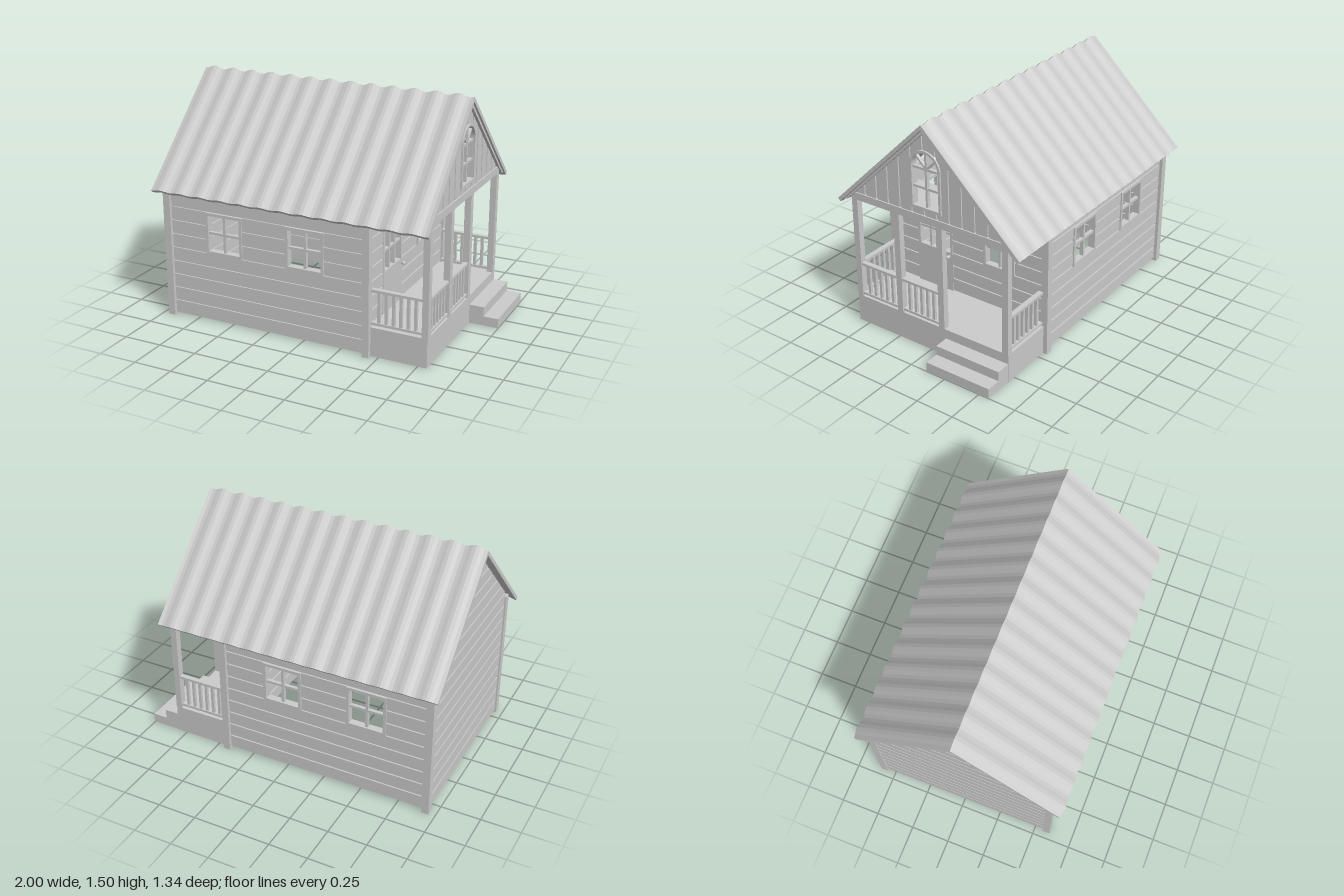
import * as THREE from 'three';

const mat = new THREE.MeshStandardMaterial({ color: 0xcccccc, flatShading: true });
const SLOPE = 0.958, GAP = 0.012, PITCH = 0.09;
const slopeY = (z, top = 1.45) => top - SLOPE * Math.abs(z);

function add(parent, name, geo, x = 0, y = 0, z = 0) {
  const m = new THREE.Mesh(geo, mat);
  m.name = name;
  m.position.set(x, y, z);
  parent.add(m);
  return m;
}
// box given by its min/max on each axis
function box(parent, name, x0, x1, y0, y1, z0, z1) {
  return add(parent, name, new THREE.BoxGeometry(x1 - x0, y1 - y0, z1 - z0),
    (x0 + x1) / 2, (y0 + y1) / 2, (z0 + z1) / 2);
}
function group(parent, name, x = 0, y = 0, z = 0, turn = 0) {
  const g = new THREE.Group();
  g.name = name;
  g.position.set(x, y, z);
  g.rotation.y = turn;
  parent.add(g);
  return g;
}
const poly = pts => new THREE.Shape(pts.map(p => new THREE.Vector2(p[0], p[1])));
const rect = (x0, x1, y0, y1) => poly([[x0, y0], [x1, y0], [x1, y1], [x0, y1]]);
// plate centred on its own z = 0
function plate(parent, name, shape, depth, holes = []) {
  shape.holes.push(...holes);
  const geo = new THREE.ExtrudeGeometry(shape, { depth, bevelEnabled: false, curveSegments: 16 });
  return add(parent, name, geo.translate(0, 0, -depth / 2));
}

// horizontally boarded wall in its local xy plane; openings are [x0, x1, y0, y1]
function boardWall(parent, u0, u1, top, openings, gable) {
  const lim = (u, y) => gable ? Math.sign(u) * Math.min(Math.abs(u), Math.max(0, (1.45 - y) / SLOPE)) : u;
  const outline = gable
    ? poly([[u0, 0.01], [u1, 0.01], [u1, slopeY(u1)], [0, 1.45], [u0, slopeY(u0)]])
    : rect(u0, u1, 0.01, top);
  plate(parent, 'wallBacking', outline, 0.012, openings.map(o => rect(...o)));
  for (let y = 0.01; y < top - 0.02; y += PITCH) {
    const last = !gable && y > 0.7;
    const a = y + GAP, b = last ? top : Math.min(y + PITCH, top);
    const cuts = openings.filter(o => o[2] < b - 0.03 && o[3] > a + 0.03);
    const edges = [u0, ...cuts.flatMap(o => [o[0], o[1]]), u1];
    for (let i = 0; i < edges.length; i += 2) {
      const l = edges[i], r = edges[i + 1];
      plate(parent, 'wallBoard', poly([[lim(l, a), a], [lim(r, a), a], [lim(r, b), b], [lim(l, b), b]]), 0.03);
    }
    if (last) break;
  }
}

// four-pane window
function paneWindow(parent, u0, u1, y0, y1) {
  const g = group(parent, 'window'), w = 0.018;
  plate(g, 'windowFrame', rect(u0, u1, y0, y1), 0.046, [rect(u0 + w, u1 - w, y0 + w, y1 - w)]);
  const u = (u0 + u1) / 2, y = (y0 + y1) / 2;
  box(g, 'verticalBar', u - 0.008, u + 0.008, y0 + w, y1 - w, -0.012, 0.012);
  box(g, 'horizontalBar', u0 + w, u1 - w, y - 0.008, y + 0.008, -0.011, 0.011);
}

// railing along local x
function railing(parent, name, len, x, z, turn) {
  const g = group(parent, name, x, 0, z, turn);
  box(g, 'topRail', -len / 2, len / 2, 0.412, 0.428, -0.016, 0.016);
  box(g, 'bottomRail', -len / 2, len / 2, 0.203, 0.219, -0.014, 0.014);
  const n = Math.round(len / 0.045);
  for (let i = 1; i < n; i++) {
    const u = -len / 2 + i * len / n;
    box(g, 'baluster', u - 0.009, u + 0.009, 0.219, 0.412, -0.009, 0.009);
  }
}

// corrugated roof: one six-point section swept along x
function roofGeometry() {
  const pos = [], idx = [], n = 80, L = 1.835;
  for (let i = 0; i <= n; i++) {
    const x = -1 + L * i / n, w = 0.007 * Math.cos((x + 0.93) / 0.139 * Math.PI * 2);
    const ez = 0.665 + w * 0.69, ey = 0.85 + w * 0.72, ry = 1.492 + w * 1.39;
    for (const [z, y] of [[ez, ey], [0, ry], [-ez, ey], [-ez + 0.016, ey - 0.017], [0, ry - 0.031], [ez - 0.016, ey - 0.017]])
      pos.push(x, y, z);
  }
  for (let i = 0; i < n; i++) for (let k = 0; k < 6; k++) {
    const a = i * 6 + k, b = i * 6 + (k + 1) % 6, c = b + 6, d = a + 6;
    idx.push(a, d, c, a, c, b);
  }
  const e = n * 6;
  idx.push(0, 1, 4, 0, 4, 5, 1, 2, 3, 1, 3, 4);
  idx.push(e + 5, e + 4, e + 1, e + 5, e + 1, e, e + 4, e + 3, e + 2, e + 4, e + 2, e + 1);
  const geo = new THREE.BufferGeometry();
  geo.setAttribute('position', new THREE.Float32BufferAttribute(pos, 3));
  geo.setIndex(idx);
  geo.computeVertexNormals();
  return geo;
}

// round-headed outline, straight sides up to y = 1.215
function arch(r, y0) {
  const s = new THREE.Shape();
  s.moveTo(-r, y0);
  s.lineTo(r, y0);
  s.lineTo(r, 1.215);
  s.absarc(0, 1.215, r, 0, Math.PI, false);
  s.lineTo(-r, y0);
  return s;
}

// porch gable with vertical boards, arched window and sloping trim
function frontGable(parent) {
  const g = group(parent, 'porchGable', 0.79, 0, 0, Math.PI / 2), R = 0.1;
  plate(g, 'gableBacking', poly([[-0.57, 0.9], [0.57, 0.9], [0, 1.45]]), 0.012, [arch(R, 0.96)]);
  const board = (l, r) => {
    const roof = u => Math.max(0.911, slopeY(u, 1.445));
    const top = l < 0 && r > 0 ? [[r, roof(r)], [0, roof(0)], [l, roof(l)]] : [[r, roof(r)], [l, roof(l)]];
    if (Math.abs(l + r) / 2 > R) return plate(g, 'gableBoard', poly([[l, 0.91], [r, 0.91], ...top]), 0.03);
    const curve = [];
    for (let i = 0; i <= 6; i++) {
      const u = l + (r - l) * i / 6;
      curve.push([u, 1.215 + Math.sqrt(Math.max(0, R * R - u * u))]);
    }
    plate(g, 'gableBoard', poly([...curve, ...top]), 0.03);
    plate(g, 'gableBoard', rect(l, r, 0.91, 0.96), 0.03);
  };
  for (let k = -6; k < 6; k++) {
    const l = Math.max(-0.016 + k * PITCH + GAP / 2, -0.56);
    const r = Math.min(-0.016 + (k + 1) * PITCH - GAP / 2, 0.56);
    const cut = [-R, R].find(c => c > l + 0.002 && c < r - 0.002);
    if (cut === undefined) board(l, r);
    else { board(l, cut); board(cut, r); }
  }
  const w = group(g, 'archedWindow');
  plate(w, 'archFrame', arch(0.11, 0.95), 0.05, [arch(0.094, 0.968)]);
  box(w, 'verticalBar', -0.007, 0.007, 0.96, 1.31, -0.012, 0.012);
  for (const y of [1.085, 1.205]) box(w, 'horizontalBar', -0.1, 0.1, y - 0.007, y + 0.007, -0.011, 0.011);
  for (const s of [-1, 1]) {
    const spoke = add(w, 'fanSpoke', new THREE.BoxGeometry(0.012, 0.1, 0.02),
      s * 0.036, 1.205 + 0.036, 0);
    spoke.rotation.z = -s * Math.PI / 4;
    const trim = plate(g, 'gableTrim', poly([[0, 1.43], [s * 0.6, 0.855], [s * 0.64, 0.85], [0, 1.463]]), 0.03);
    trim.position.z = 0.018;
  }
}

export function createModel() {
  const model = new THREE.Group();
  model.name = 'cabin';

  // long side walls with two windows each
  for (const s of [-1, 1]) {
    const wall = group(model, 'sideWall', 0, 0, s * 0.565);
    const wins = [[-0.663, -0.407, 0.462, 0.73], [-0.107, 0.149, 0.462, 0.73]];
    boardWall(wall, -0.92, 0.415, 0.87, wins, false);
    wins.forEach(o => paneWindow(wall, ...o));
    box(model, 'cornerPost', -0.96, -0.912, 0, 0.885, s * 0.5775 - 0.0225, s * 0.5775 + 0.0225);
    box(model, 'cornerPost', 0.405, 0.45, 0, 0.885, s * 0.5775 - 0.0225, s * 0.5775 + 0.0225);
  }

  // rear gable wall
  boardWall(group(model, 'rearWall', -0.935, 0, 0, -Math.PI / 2), -0.56, 0.56, 1.44, [], true);

  // porch wall with door and window
  const wall = group(model, 'porchWall', 0.425, 0, 0, Math.PI / 2);
  const door = [-0.38, -0.108, 0.19, 0.73], win = [0.128, 0.358, 0.462, 0.73];
  boardWall(wall, -0.55, 0.55, 0.87, [door, win], false);
  paneWindow(wall, ...win);
  const d = group(wall, 'door');
  plate(d, 'doorPanel', rect(...door), 0.036, [rect(-0.36, -0.126, 0.46, 0.708)]);
  for (const u of [-0.282, -0.204]) box(d, 'doorBar', u - 0.007, u + 0.007, 0.46, 0.708, -0.012, 0.012);
  box(d, 'doorBar', -0.36, -0.126, 0.58, 0.594, -0.011, 0.011);
  const stem = add(d, 'knobStem', new THREE.CylinderGeometry(0.006, 0.006, 0.02, 10), -0.13, 0.437, 0.024);
  stem.rotation.x = Math.PI / 2;
  add(d, 'doorKnob', new THREE.SphereGeometry(0.012, 12, 8), -0.13, 0.437, 0.038);

  // porch deck, steps and ceiling
  box(model, 'porchDeck', 0.43, 0.81, 0.004, 0.19, -0.573, 0.573);
  box(model, 'upperStep', 0.81, 0.905, 0.004, 0.127, -0.57, -0.118);
  box(model, 'lowerStep', 0.905, 1, 0.004, 0.065, -0.57, -0.118);
  box(model, 'porchCeiling', 0.42, 0.785, 0.872, 0.885, -0.56, 0.56);

  // porch posts and beams
  for (const z of [0.551, 0.229, -0.089, -0.551])
    box(model, 'porchPost', 0.773, 0.813, 0.19, 0.867, z - 0.021, z + 0.021);
  box(model, 'frontBeam', 0.773, 0.813, 0.865, 0.912, -0.572, 0.572);
  for (const z of [-0.551, 0.551]) box(model, 'sideBeam', 0.44, 0.78, 0.862, 0.9, z - 0.02, z + 0.02);

  // railings
  railing(model, 'frontRailing', 0.28, 0.793, 0.39, Math.PI / 2);
  railing(model, 'frontRailing', 0.276, 0.793, 0.07, Math.PI / 2);
  for (const z of [-0.551, 0.551]) railing(model, 'sideRailing', 0.325, 0.612, z, 0);

  frontGable(model);
  add(model, 'corrugatedRoof', roofGeometry());
  return model;
}
